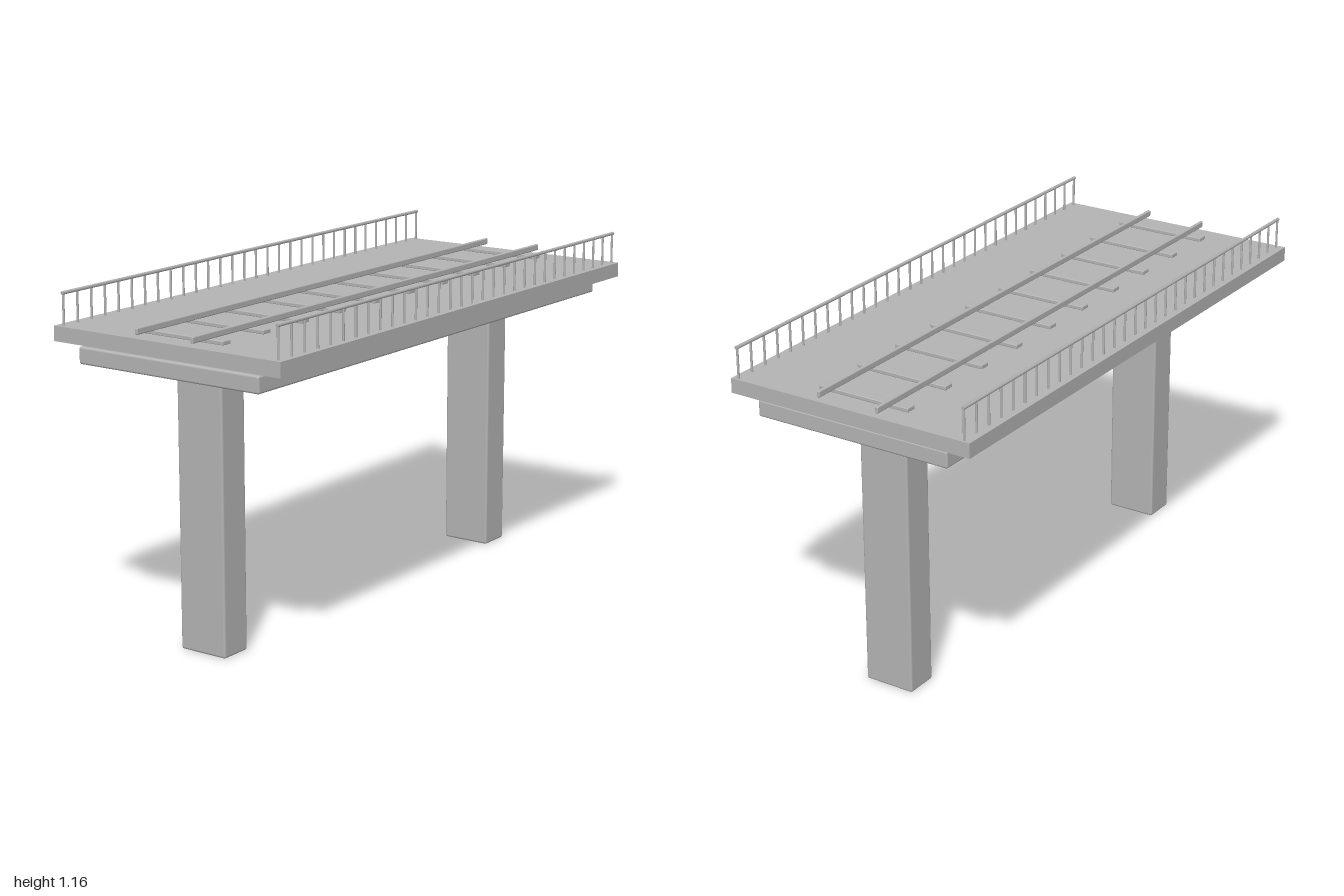
import * as THREE from 'three';
import { RoundedBoxGeometry } from 'three/addons/geometries/RoundedBoxGeometry.js';

export function createModel() {
  const model = new THREE.Group();
  model.name = 'railwayBridge';
  const concrete = new THREE.MeshStandardMaterial({ color: 0xb4b4b4 });
  concrete.name = 'concrete grey';

  const add = (name, geometry, x, y, z, parent = model) => {
    const mesh = new THREE.Mesh(geometry, concrete);
    mesh.name = name;
    mesh.position.set(x, y, z);
    parent.add(mesh);
    return mesh;
  };
  const rounded = (w, h, d, r) => new RoundedBoxGeometry(w, h, d, 2, r);

  // Deck slab and the narrower girder slab beneath it
  add('deck', new THREE.BoxGeometry(2, 0.05, 0.9), 0, 1.025, 0);
  add('girder', rounded(1.974, 0.057, 0.716, 0.007), -0.003, 0.964, 0.001);

  // Two pillars, running through the girder up to the deck
  const pillar = rounded(0.117, 1, 0.18, 0.008);
  for (const x of [-0.775, 0.764]) add('pillar', pillar, x, 0.5, 0);

  // Sleepers
  const track = new THREE.Group();
  track.name = 'track';
  model.add(track);
  const sleeper = rounded(0.038, 0.014, 0.338, 0.003);
  for (let i = 0; i < 10; i++) add('sleeper', sleeper, -0.902 + i * 0.2, 1.056, 0.001, track);

  // Rails
  const rail = rounded(1.996, 0.022, 0.012, 0.004);
  for (const z of [-0.109, 0.111]) add('rail', rail, -0.002, 1.073, z, track);

  // Railings along both edges
  const post = new THREE.CylinderGeometry(0.004, 0.004, 0.106, 8);
  const handrail = new THREE.CylinderGeometry(0.006, 0.006, 1.982, 8).rotateZ(Math.PI / 2);
  for (const z of [-0.424, 0.427]) {
    const railing = new THREE.Group();
    railing.name = 'railing';
    model.add(railing);
    add('handrail', handrail, 0.005, 1.155, z, railing);
    for (let i = 0; i <= 30; i++) add('post', post, -0.981 + i * 0.0657, 1.102, z, railing);
  }
  return model;
}
